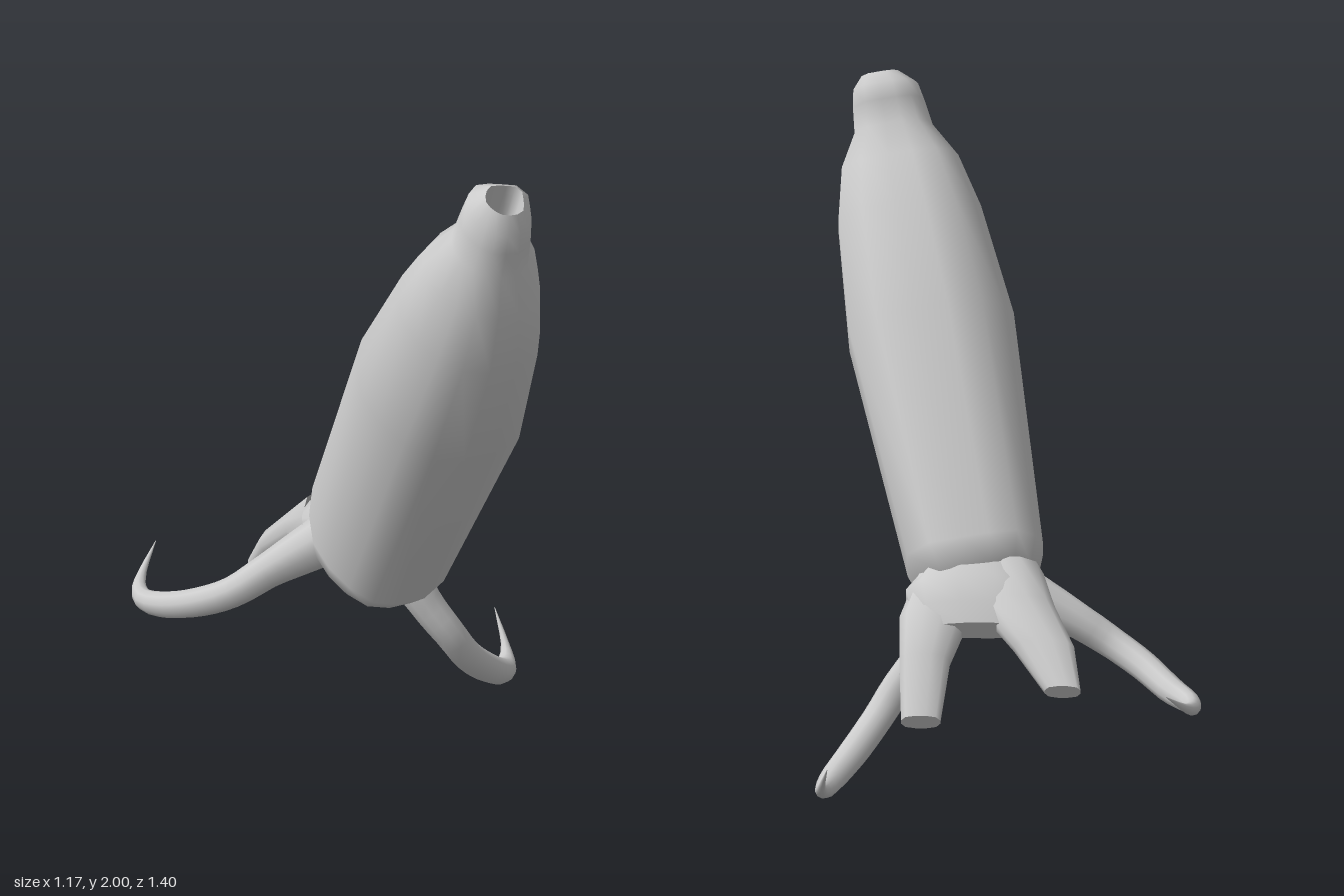
import * as THREE from 'three';

const material = new THREE.MeshStandardMaterial({ color: 0xcccccc, side: THREE.DoubleSide });

// Loft through rounded-square sections [x, y, z, halfWidth, halfDepth], all square to one axis;
// skew pushes out the back left corner and pulls in the front right one
function loft(name, axis, sections, { sides = 16, power = 2.7, skew = 0, capStart = false, capEnd = false } = {}) {
  const a = new THREE.Vector3(...axis).normalize();
  const u = new THREE.Vector3(1, 0, 0).addScaledVector(a, -a.x).normalize();
  const v = new THREE.Vector3().crossVectors(a, u);
  const positions = [], index = [];
  const addRing = ([x, y, z, hu, hv]) => {
    const start = positions.length / 3;
    for (let j = 0; j < sides; j++) {
      const t = ((j + 0.5) / sides) * Math.PI * 2, c = Math.cos(t), s = Math.sin(t);
      const corner = 1 + skew * Math.sin(2 * t) ** 2 * Math.cos(t - Math.PI / 4);
      const k = corner * (Math.abs(c) ** power + Math.abs(s) ** power) ** (-1 / power);
      const p = new THREE.Vector3(x, y, z).addScaledVector(u, c * k * hu).addScaledVector(v, s * k * hv);
      positions.push(p.x, p.y, p.z);
    }
    return start;
  };
  const rings = sections.map(addRing);
  for (let i = 0; i < rings.length - 1; i++) {
    for (let j = 0; j < sides; j++) {
      const n = (j + 1) % sides, p = rings[i], q = rings[i + 1];
      index.push(p + j, p + n, q + j, p + n, q + n, q + j);
    }
  }
  // Caps have their own vertices so their rims stay sharp
  const addCap = (section, flip) => {
    const r = addRing(section);
    for (let j = 1; j < sides - 1; j++) index.push(r, r + (flip ? j + 1 : j), r + (flip ? j : j + 1));
  };
  if (capStart) addCap(sections[0], true);
  if (capEnd) addCap(sections[sections.length - 1], false);
  const geometry = new THREE.BufferGeometry();
  geometry.setAttribute('position', new THREE.Float32BufferAttribute(positions, 3));
  geometry.setIndex(index);
  geometry.computeVertexNormals();
  const mesh = new THREE.Mesh(geometry, material);
  mesh.name = name;
  return mesh;
}

// Curved tube that tapers along points [x, y, z, radius]
function tentacle(name, points) {
  const curve = new THREE.CatmullRomCurve3(points.map(([x, y, z]) => new THREE.Vector3(x, y, z)));
  const steps = 24, sides = 10;
  const geometry = new THREE.TubeGeometry(curve, steps, 1, sides, false);
  const pos = geometry.attributes.position, p = new THREE.Vector3();
  for (let i = 0; i <= steps; i++) {
    const t = curve.getUtoTmapping(i / steps), centre = curve.getPoint(t);
    const f = t * (points.length - 1), k = Math.min(Math.floor(f), points.length - 2);
    const radius = THREE.MathUtils.lerp(points[k][3], points[k + 1][3], f - k);
    for (let j = 0; j <= sides; j++) {
      const n = i * (sides + 1) + j;
      p.fromBufferAttribute(pos, n).sub(centre).multiplyScalar(radius).add(centre);
      pos.setXYZ(n, p.x, p.y, p.z);
    }
  }
  const mesh = new THREE.Mesh(geometry, material);
  mesh.name = name;
  return mesh;
}

export function createModel() {
  const model = new THREE.Group();
  model.name = 'tentacledPod';
  const lean = [0.18, 0.825, 0.535];
  const skew = 0.14;

  // Leaning body, narrowing to a neck and a small bulb
  const rim = [0.408, 1.967, 0.627, 0.06, 0.056];
  model.add(loft('body', lean, [
    [0.1, 0.535, -0.135, 0.13, 0.16],
    [0.095, 0.575, -0.105, 0.18, 0.225],
    [0.108, 0.64, -0.06, 0.21, 0.268],
    [0.247, 1.25, 0.318, 0.255, 0.28],
    [0.316, 1.55, 0.486, 0.22, 0.225],
    [0.347, 1.7, 0.553, 0.18, 0.165],
    [0.368, 1.8, 0.588, 0.12, 0.115],
    [0.383, 1.875, 0.6, 0.11, 0.108],
    [0.393, 1.928, 0.608, 0.1, 0.1],
    rim,
  ], { skew, capStart: true }));

  // Hollow opening at the tip
  model.add(loft('mouth', lean, [rim, [0.37, 1.8, 0.57, 0.055, 0.05]], { skew, capEnd: true }));

  // Two flat rear legs growing out of a broad collar
  const back = [0, -0.6, -0.8];
  const legOptions = { sides: 12, capEnd: true };
  model.add(loft('rightRearLeg', back, [
    [0.0, 0.62, -0.2, 0.1, 0.12],
    [-0.02, 0.57, -0.34, 0.115, 0.068],
    [-0.105, 0.475, -0.455, 0.092, 0.05],
    [-0.163, 0.372, -0.562, 0.055, 0.03],
  ], legOptions));
  model.add(loft('leftRearLeg', back, [
    [0.2, 0.58, -0.2, 0.1, 0.12],
    [0.232, 0.53, -0.34, 0.105, 0.068],
    [0.258, 0.425, -0.44, 0.077, 0.05],
    [0.268, 0.272, -0.553, 0.06, 0.032],
  ], legOptions));
  model.add(loft('legCollar', back, [
    [0.1, 0.62, -0.18, 0.17, 0.13],
    [0.105, 0.59, -0.27, 0.215, 0.108],
    [0.1, 0.55, -0.34, 0.2, 0.073],
    [0.09, 0.515, -0.39, 0.15, 0.04],
  ], legOptions));

  // Curling side tentacles
  model.add(tentacle('rightTentacle', [
    [-0.03, 0.58, -0.19, 0.08], [-0.2, 0.49, -0.19, 0.054], [-0.31, 0.42, -0.2, 0.048],
    [-0.4, 0.37, -0.258, 0.046], [-0.49, 0.322, -0.37, 0.042], [-0.545, 0.308, -0.45, 0.034],
    [-0.555, 0.314, -0.53, 0.024], [-0.535, 0.338, -0.61, 0.013], [-0.48, 0.4, -0.71, 0.001],
  ]));
  model.add(tentacle('leftTentacle', [
    [0.19, 0.52, -0.19, 0.08], [0.27, 0.37, -0.167, 0.055], [0.35, 0.26, -0.16, 0.049],
    [0.4, 0.185, -0.19, 0.047], [0.475, 0.1, -0.29, 0.046], [0.535, 0.048, -0.39, 0.041],
    [0.56, 0.036, -0.47, 0.031], [0.57, 0.06, -0.56, 0.014], [0.55, 0.15, -0.66, 0.001],
  ]));
  return model;
}
